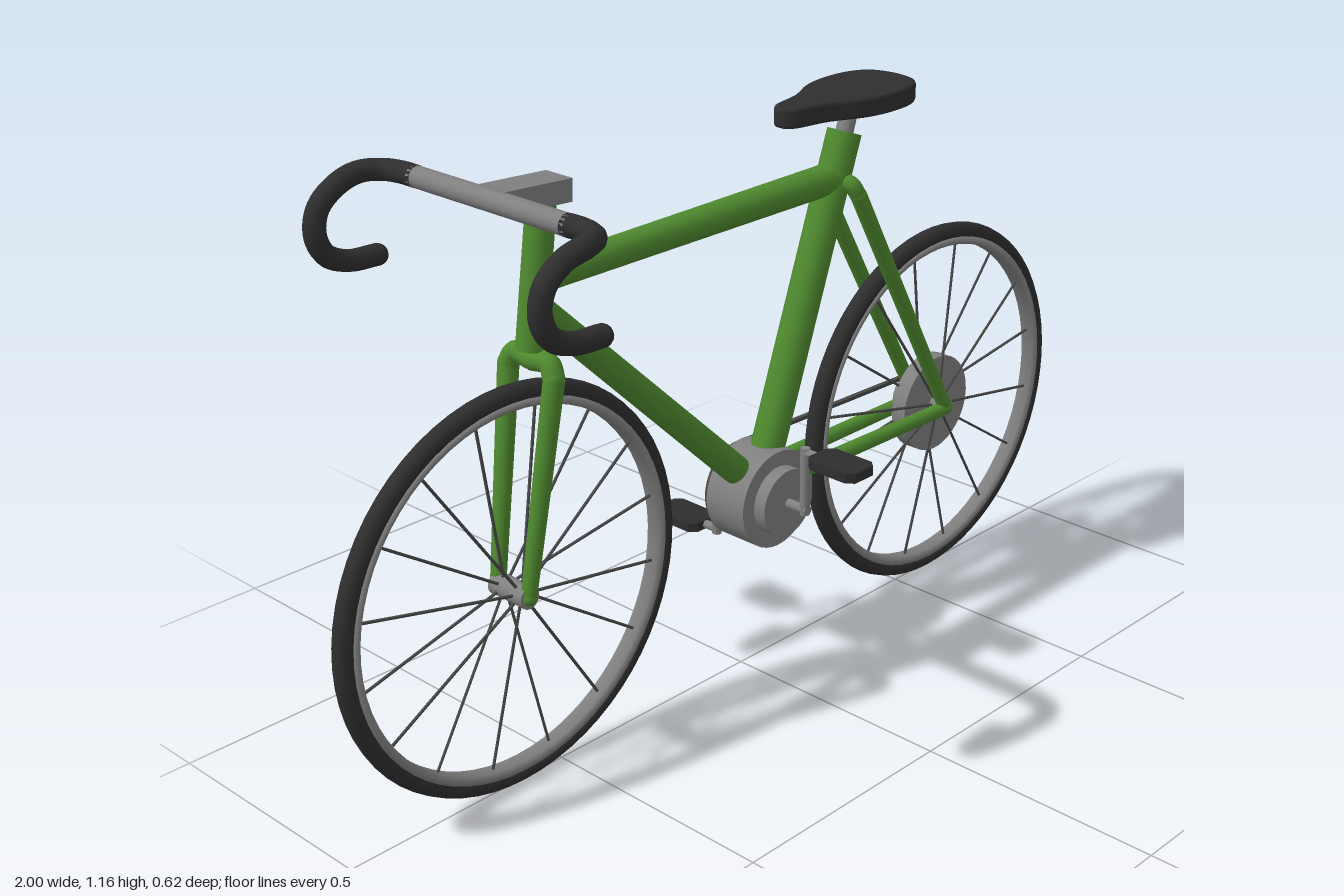
import * as THREE from 'three';

const mat = (name, color, side = THREE.FrontSide) => {
  const m = new THREE.MeshStandardMaterial({ color, side });
  m.name = name;
  return m;
};

export function createModel() {
  const root = new THREE.Group();
  root.name = 'bicycle';
  const green = mat('frameGreen', 0x4f8a2f);
  const black = mat('rubberBlack', 0x2e2e2e);
  const grey = mat('metalGrey', 0x808080);
  const chainGrey = mat('chainGrey', 0x4a4a4a);
  const V = (x, y, z) => new THREE.Vector3(x, y, z);

  const add = (name, geo, m, parent = root) => {
    const mesh = new THREE.Mesh(geo, m);
    mesh.name = name;
    parent.add(mesh);
    return mesh;
  };
  // Straight round bar between two points
  const bar = (name, a, b, r1, r2, m, parent = root, sides = 16) => {
    const d = b.clone().sub(a);
    const mesh = add(name, new THREE.CylinderGeometry(r2, r1, d.length(), sides), m, parent);
    mesh.position.copy(a).addScaledVector(d, 0.5);
    mesh.quaternion.setFromUnitVectors(V(0, 1, 0), d.normalize());
    return mesh;
  };
  // Round part whose axis runs along z
  const drum = (name, x, y, z0, z1, r, m, parent = root) =>
    bar(name, V(x, y, z0), V(x, y, z1), r, r, m, parent, 40);
  const ball = (name, p, r, m) =>
    add(name, new THREE.SphereGeometry(r, 16, 10), m).position.copy(p);
  const bentTube = (name, pts, r, m) => {
    const curve = new THREE.CatmullRomCurve3(pts, false, 'centripetal');
    add(name, new THREE.TubeGeometry(curve, 48, r, 12), m);
    ball(name + 'End', pts[pts.length - 1], r, m);
  };

  // Wheels
  const wheel = (name, x) => {
    const g = new THREE.Group();
    g.name = name;
    g.position.set(x, 0.4, 0);
    root.add(g);
    add('tyre', new THREE.TorusGeometry(0.38, 0.0195, 12, 64), black, g);
    const section = [[0.354, -0.014], [0.371, -0.0175], [0.371, 0.0175], [0.354, 0.014], [0.354, -0.014]];
    const rim = new THREE.LatheGeometry(section.map(p => new THREE.Vector2(...p)), 64);
    add('rim', rim.toNonIndexed(), grey, g).rotation.x = Math.PI / 2;
    rim.dispose();
    for (let i = 0; i < 16; i++) {
      const a = (i + 0.5) * Math.PI / 8, c = Math.cos(a), s = Math.sin(a);
      const z = i % 2 ? 0.022 : -0.022;
      bar('spoke', V(c * 0.015, s * 0.015, z), V(c * 0.358, s * 0.358, 0), 0.003, 0.003, chainGrey, g, 6);
    }
    drum('hub', 0, 0, -0.045, 0.045, 0.022, grey, g);
    return g;
  };
  wheel('frontWheel', -0.6);
  const rear = wheel('rearWheel', 0.6);
  drum('rearDisc', 0, 0, -0.018, 0.017, 0.107, grey, rear);
  drum('sprocket', 0, 0, -0.064, -0.018, 0.048, grey, rear);

  // Main frame tubes
  const bb = V(0.056, 0.4, 0);
  const seatTop = V(0.297, 1.07, 0);
  bar('headTube', V(-0.535, 0.85, 0), V(-0.497, 1.125, 0), 0.028, 0.027, green);
  bar('topTube', V(-0.515, 0.976, 0), V(0.268, 0.983, 0), 0.028, 0.032, green);
  bar('downTube', V(-0.52, 0.925, 0), V(0.03, 0.4, 0), 0.027, 0.03, green);
  bar('seatTube', bb, seatTop, 0.035, 0.035, green);
  bar('seatPost', V(0.28, 1.02, 0), V(0.316, 1.125, 0), 0.018, 0.018, grey);

  // Mirrored fork blades and stays
  for (const s of [1, -1]) {
    bentTube('forkCrown', [V(-0.532, 0.83, 0), V(-0.533, 0.833, s * 0.045), V(-0.537, 0.81, s * 0.06)], 0.02, green);
    bar('forkBlade', V(-0.537, 0.81, s * 0.06), V(-0.6, 0.4, s * 0.042), 0.02, 0.015, green);
    ball('forkEnd', V(-0.6, 0.4, s * 0.042), 0.016, green);
    bentTube('seatStayTop', [V(0.27, 0.975, 0), V(0.274, 0.975, s * 0.038), V(0.288, 0.95, s * 0.048)], 0.017, green);
    bar('seatStay', V(0.288, 0.95, s * 0.048), V(0.6, 0.4, s * 0.042), 0.017, 0.015, green);
    bar('chainStay', V(0.06, 0.4, s * 0.035), V(0.6, 0.396, s * 0.042), 0.017, 0.015, green);
    ball('dropout', V(0.6, 0.398, s * 0.042), 0.017, green);
  }

  // Crankset
  const cx = 0.056, cy = 0.37;
  drum('chainringDrum', cx, cy, -0.05, 0.05, 0.103, grey);
  drum('bottomBracket', cx, cy, -0.078, 0.078, 0.071, grey);

  // Pedal outline with clipped corners, laid flat
  const pedalShape = new THREE.Shape([
    [-0.026, -0.06], [0.026, -0.06], [0.039, -0.045], [0.039, 0.045],
    [0.026, 0.06], [-0.026, 0.06], [-0.039, 0.045], [-0.039, -0.045],
  ].map(p => new THREE.Vector2(...p)));
  const pedalGeo = new THREE.ExtrudeGeometry(pedalShape, { depth: 0.02, bevelEnabled: false });
  pedalGeo.rotateX(-Math.PI / 2);
  for (const s of [1, -1]) {
    const py = cy + s * 0.124;
    bar('crankAxle', V(cx, cy, s * 0.07), V(cx, cy, s * 0.13), 0.01, 0.01, grey);
    bar('crankArm', V(cx, cy - s * 0.01, s * 0.121), V(cx, py + s * 0.01, s * 0.121), 0.01, 0.01, grey);
    bar('pedalAxle', V(cx, py, s * 0.115), V(cx, py, s * 0.16), 0.009, 0.009, grey);
    add('pedal', pedalGeo, black).position.set(cx, py - 0.01, s * 0.212);
  }

  // Chain: a thin loop tangent to both sprockets
  const loop = (Kind, r1, r2) => {
    const p = new Kind();
    const t = Math.acos((r1 - r2) / 0.545);
    p.absarc(cx, cy, r1, t, Math.PI * 2 - t, false);
    p.absarc(0.6, 0.4, r2, -t, t, false);
    p.closePath();
    return p;
  };
  const chainShape = loop(THREE.Shape, 0.093, 0.05);
  chainShape.holes.push(loop(THREE.Path, 0.085, 0.042));
  const chainGeo = new THREE.ExtrudeGeometry(chainShape, { depth: 0.01, bevelEnabled: false, curveSegments: 24 });
  add('chain', chainGeo, chainGrey).position.z = -0.064;

  // Stem and handlebar
  const stem = add('stem', new THREE.BoxGeometry(0.15, 0.042, 0.068), grey);
  stem.position.set(-0.531, 1.134, 0);
  stem.rotation.z = -0.06;
  bar('handlebar', V(-0.612, 1.14, -0.2), V(-0.612, 1.14, 0.2), 0.02, 0.02, grey);
  for (const s of [1, -1]) {
    bentTube('dropGrip', [
      V(-0.612, 1.14, s * 0.19), V(-0.612, 1.14, s * 0.23), V(-0.625, 1.14, s * 0.27),
      V(-0.66, 1.14, s * 0.29), V(-0.71, 1.128, s * 0.29), V(-0.753, 1.095, s * 0.29),
      V(-0.764, 1.05, s * 0.29), V(-0.745, 1.008, s * 0.29), V(-0.7, 0.986, s * 0.29),
      V(-0.635, 0.981, s * 0.29),
    ], 0.0205, black);
  }

  // Saddle: mirrored outline extruded upward
  const half = [[0.107, 0.012], [0.125, 0.028], [0.2, 0.045], [0.27, 0.078], [0.33, 0.09],
    [0.4, 0.084], [0.44, 0.06], [0.455, 0.02]];
  const edge = new THREE.CatmullRomCurve3(
    [...half.map(p => V(p[0], p[1], 0)), ...half.map(p => V(p[0], -p[1], 0)).reverse()], true, 'centripetal');
  const outline = new THREE.Shape(edge.getPoints(64).slice(0, -1).map(p => new THREE.Vector2(p.x, p.y)));
  const saddleGeo = new THREE.ExtrudeGeometry(outline, {
    depth: 0.028, bevelThickness: 0.006, bevelSize: 0.006, bevelOffset: -0.006, bevelSegments: 2,
  });
  saddleGeo.rotateX(-Math.PI / 2);
  const saddle = add('saddle', saddleGeo, black);
  saddle.position.set(0, 1.119, 0);
  saddle.rotation.z = 0.012;

  return root;
}
